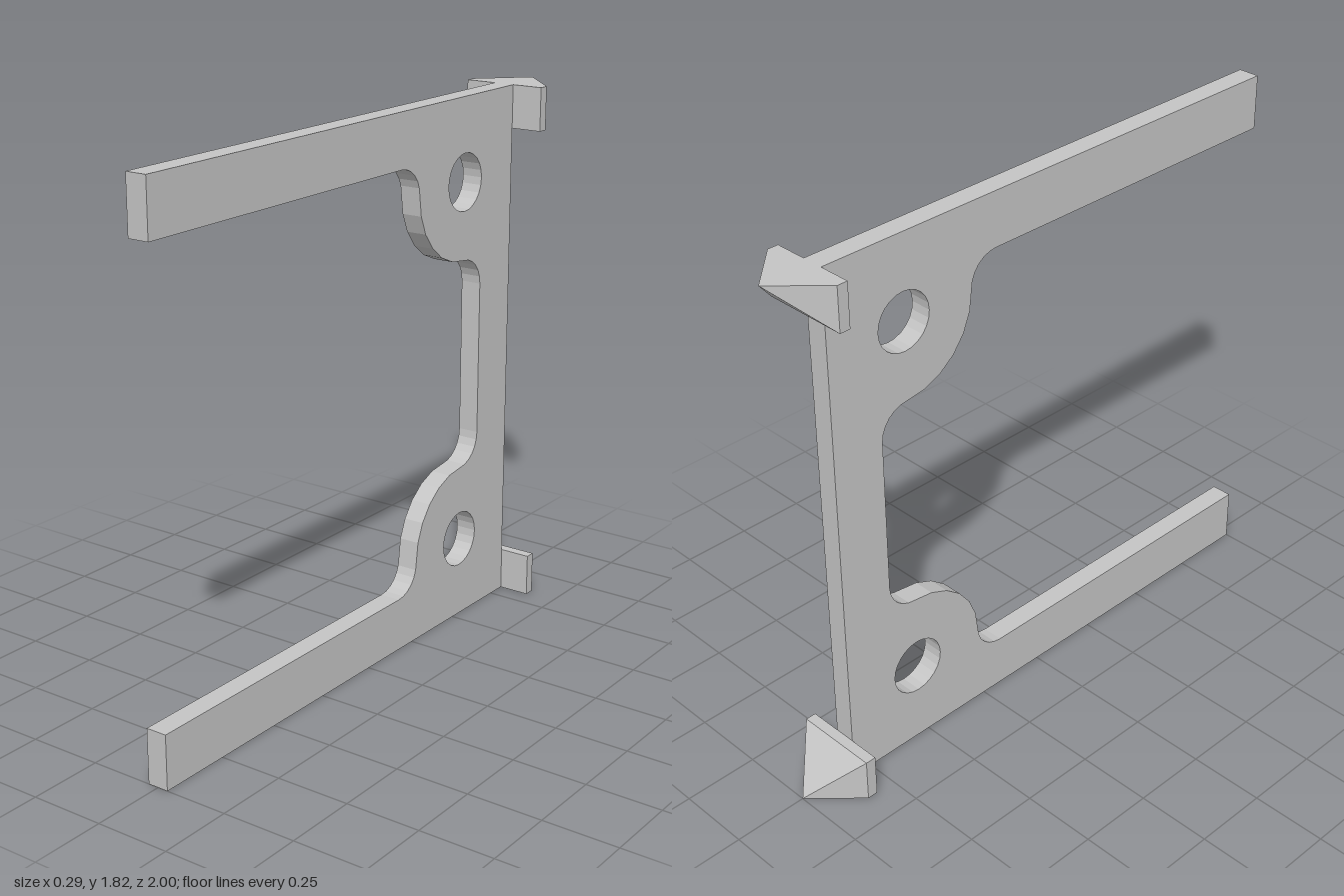
import * as THREE from 'three';
import { ConvexGeometry } from 'three/addons/geometries/ConvexGeometry.js';

const H = 1.818;          // overall height
const BACK = -0.818;      // back of the frame
const BAR = 0.182;        // width of arms and post
const THICK = 0.072;      // plate thickness
const PIVOT = [-0.536, 0.282]; // lower hole centre (z, y)

// Points along an arc in 15 degree steps, angles in degrees
function arc(cx, cy, r, from, to) {
  const n = Math.round(Math.abs(to - from) / 15);
  return Array.from({ length: n + 1 }, (_, i) => {
    const a = THREE.MathUtils.degToRad(from + ((to - from) * i) / n);
    return new THREE.Vector2(cx + r * Math.cos(a), cy + r * Math.sin(a));
  });
}

// C-shaped plate with two rounded lobes and a hole in each
function frameGeometry() {
  const [pz, py] = PIVOT;
  const lower = [
    new THREE.Vector2(BACK, 0),
    new THREE.Vector2(1, 0),
    new THREE.Vector2(1, BAR),
    ...arc(pz + 0.363, py, 0.1, -90, -180),
    ...arc(pz, py, 0.263, 0, 90).slice(1),
    ...arc(pz, py + 0.363, 0.1, -90, -180).slice(1),
  ];
  const upper = lower.map((p) => new THREE.Vector2(p.x, H - p.y)).reverse();
  const shape = new THREE.Shape([...lower, ...upper]);
  for (const y of [py, H - py]) {
    shape.holes.push(new THREE.Path(arc(pz, y, 0.097, 0, 345)));
  }
  const geometry = new THREE.ExtrudeGeometry(shape, { depth: THICK, bevelEnabled: false });
  geometry.translate(0, 0, -THICK / 2);
  geometry.rotateY(-Math.PI / 2);
  return geometry;
}

// Short block tapering to a point level with the outer edge of the frame
function tipGeometry(outerY, innerY) {
  const points = [new THREE.Vector3(0, outerY, -1)];
  for (const x of [-0.144, 0.144])
    for (const y of [outerY, innerY])
      for (const z of [BACK, BACK - 0.036]) points.push(new THREE.Vector3(x, y, z));
  return new ConvexGeometry(points);
}

export function createModel() {
  const group = new THREE.Group();
  const grey = new THREE.MeshStandardMaterial({ color: 0xc4c4c4, flatShading: true });
  grey.name = 'lightGrey';

  const add = (name, geometry) => {
    const mesh = new THREE.Mesh(geometry, grey);
    mesh.name = name;
    group.add(mesh);
  };
  add('frame', frameGeometry());
  add('upperTip', tipGeometry(H, H - 0.146));
  add('lowerTip', tipGeometry(0, 0.146));
  return group;
}
